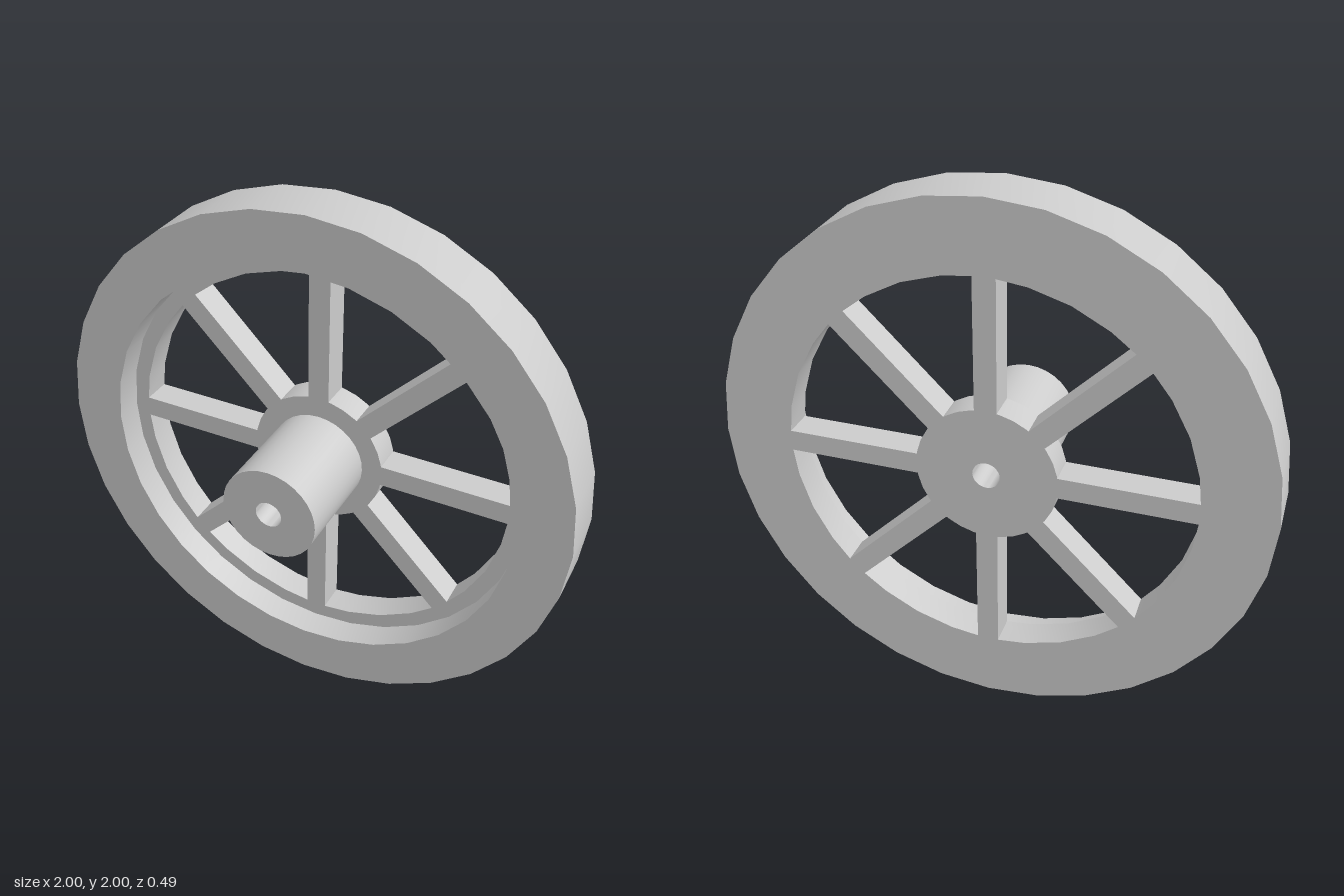
import * as THREE from 'three';
import { toCreasedNormals } from 'three/addons/utils/BufferGeometryUtils.js';

const SIDES = 32, SPOKES = 8;
const BACK = -0.245, WEB_FRONT = -0.135, RIM_FRONT = -0.025, HUB_FRONT = 0.245;
const RIM_R = 1, STEP_R = 0.8, WINDOW_R = 0.74, DISC_R = 0.257, HUB_R = 0.18, BORE_R = 0.05;
const SPOKE_HALF = 0.04;

const polar = (r, a) => new THREE.Vector2(r * Math.cos(a), r * Math.sin(a));

function circle(r) {
  return Array.from({ length: SIDES }, (_, i) => polar(r, (i / SIDES) * Math.PI * 2));
}

// Arc across one gap between spokes, leaving half a spoke width at each end
function gapArc(r) {
  const gap = (Math.PI * 2) / SPOKES, inset = Math.asin(SPOKE_HALF / r);
  const points = [polar(r, inset)];
  for (let k = 1; k < SIDES / SPOKES; k++) points.push(polar(r, (k * Math.PI * 2) / SIDES));
  points.push(polar(r, gap - inset));
  return points;
}

// Opening between two neighbouring spokes
function windowHole(i) {
  const turn = (i / SPOKES) * Math.PI * 2;
  const points = [...gapArc(WINDOW_R), ...gapArc(DISC_R).reverse()];
  return points.map((p) => p.rotateAround(new THREE.Vector2(), turn));
}

function plate(name, outer, holes, z0, z1, material) {
  const shape = new THREE.Shape(outer);
  shape.holes = holes.map((points) => new THREE.Path(points));
  const extruded = new THREE.ExtrudeGeometry(shape, { depth: z1 - z0, bevelEnabled: false });
  const mesh = new THREE.Mesh(toCreasedNormals(extruded, 0.5), material);
  mesh.name = name;
  mesh.position.set(0, 1, z0);
  return mesh;
}

export function createModel() {
  const group = new THREE.Group();
  group.name = 'spokedWheel';
  const material = new THREE.MeshStandardMaterial({ color: 0xcccccc });

  // Deep outer rim
  group.add(plate('rim', circle(RIM_R), [circle(STEP_R)], BACK, RIM_FRONT, material));

  // Thin web at the back: inner ledge, spokes and centre disc in one piece
  const windows = Array.from({ length: SPOKES }, (_, i) => windowHole(i));
  group.add(plate('spokeWeb', circle(STEP_R), [circle(BORE_R), ...windows], BACK, WEB_FRONT, material));

  // Long bored hub standing out to the front
  group.add(plate('hub', circle(HUB_R), [circle(BORE_R)], WEB_FRONT, HUB_FRONT, material));

  return group;
}
